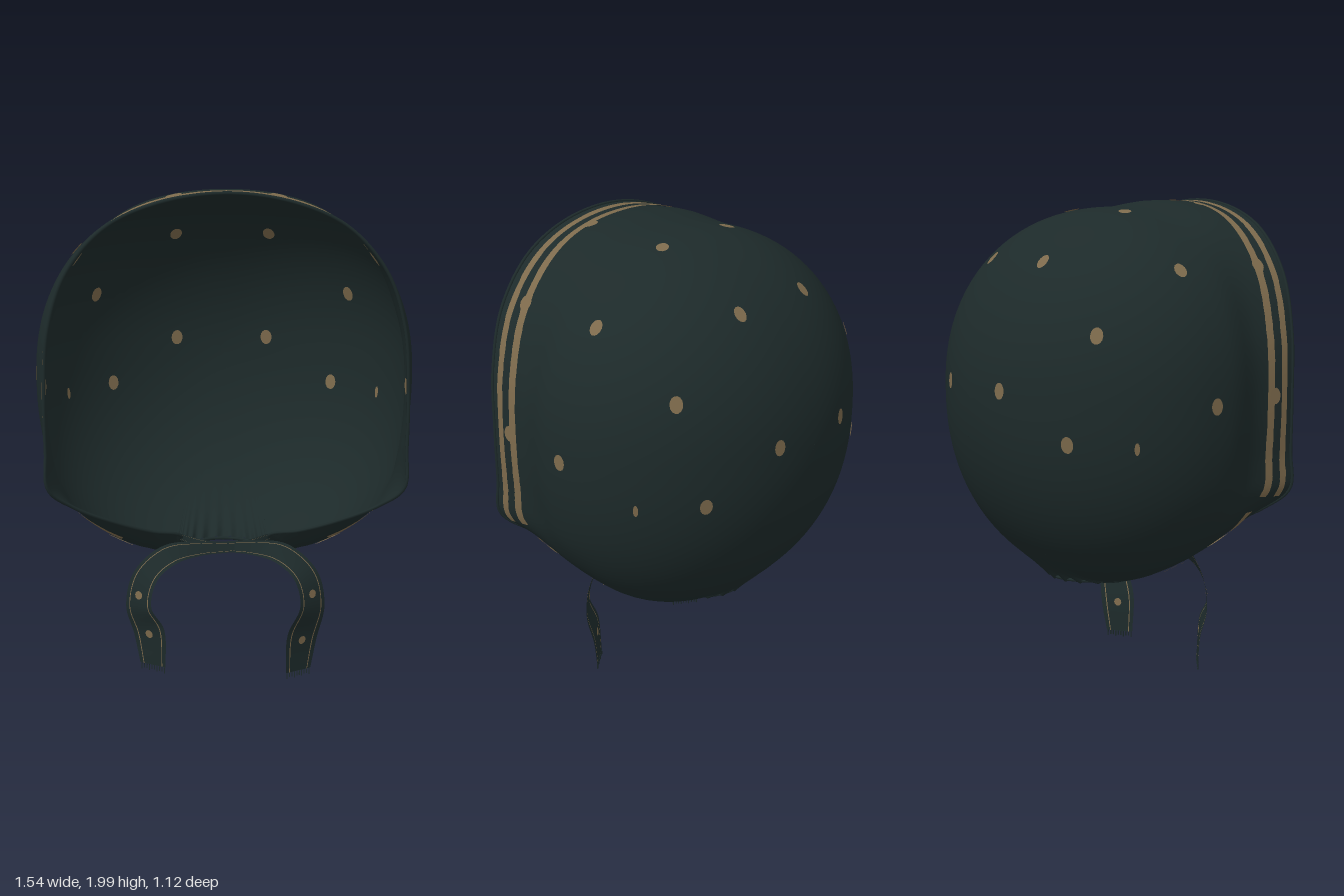
import * as THREE from 'three';

const fabric = new THREE.MeshStandardMaterial({ color: 0x1d2a2a, side: THREE.DoubleSide });
fabric.name = 'dark green fabric';
const trim = new THREE.MeshStandardMaterial({ color: 0x7d6a4c, side: THREE.DoubleSide });
trim.name = 'tan trim';

// Half of the shell's edge: face opening from crown to chin, then neck opening to the nape
const halfEdge = [
  [0, 1.985, 0.55], [0.25, 1.95, 0.55], [0.45, 1.86, 0.54], [0.6, 1.69, 0.53], [0.675, 1.47, 0.515],
  [0.695, 1.22, 0.505], [0.695, 1.0, 0.505], [0.69, 0.85, 0.51], [0.6, 0.76, 0.45], [0.45, 0.68, 0.39],
  [0.3, 0.61, 0.3], [0.18, 0.57, 0.23], [0.19, 0.46, 0.14], [0.18, 0.43, 0.02], [0.12, 0.43, -0.12],
  [0, 0.43, -0.17],
];
const CHIN = 11;
const mirrored = halfEdge.slice(1, -1).reverse().map(([x, y, z]) => [-x, y, z]);
const edgePoints = [...halfEdge, ...mirrored].map((p) => new THREE.Vector3(...p));
const edge = new THREE.CatmullRomCurve3(edgePoints, true, 'centripetal');
const { smoothstep, lerp, clamp } = THREE.MathUtils;

// Rounded head form: flatter towards the face, fuller at the lower cheeks
const C = new THREE.Vector3(0, 1.21, 0.08);
const axes = (y, z) => [0.762, y > 0 ? 0.74 : 0.82, z > 0 ? 1.0 : 0.64];
function fullness(x, y) {
  const a = Math.atan2(y, x), q = 2.25;
  return (Math.abs(Math.cos(a)) ** q + Math.abs(Math.sin(a)) ** q) ** (-1 / q);
}

// Returns a function of s: from the back of the head (0) to the edge (1)
function meridian(u) {
  const B = edge.getPoint(u).sub(C);
  const A = axes(B.y, B.z);
  let bx = B.x / A[0], by = B.y / A[1];
  const bz = B.z / A[2], f = fullness(bx, by);
  bx /= f;
  by /= f;
  const flat = Math.hypot(bx, by), R = Math.hypot(flat, bz);
  const sweep = Math.PI / 2 + Math.atan2(bz, flat);
  // gathers along the neck, a raised brim at the crown and a pinch at the sides
  const k = Math.min(u, 1 - u) * edgePoints.length;
  const wave = 0.016 * smoothstep(k, CHIN - 1.5, CHIN + 1) * Math.cos(k * Math.PI * 4);
  const brim = lerp(0.03, -0.045, smoothstep(k, 1, 4)) * (1 - smoothstep(k, 6.5, 8.5));
  return (s) => {
    const bump = Math.sin(Math.PI * clamp((s - 0.82) / 0.18, 0, 1)) ** 2;
    const r = 1 + (R - 1) * s ** 12 + wave * s ** 10 + brim * bump;
    const w = Math.sin(sweep * s) * r, dz = -Math.cos(sweep * s) * r;
    const X = axes(by, dz);
    return new THREE.Vector3((bx / flat) * w * f * X[0], (by / flat) * w * f * X[1], dz * X[2]).add(C);
  };
}

// The s that lies a given distance back from the edge
function backFromEdge(m, distance) {
  let s = 1, length = 0, last = m(1);
  while (length < distance) {
    s -= 0.001;
    const next = m(s);
    length += next.distanceTo(last);
    last = next;
  }
  return s;
}

function indexedGeometry(positions, dark, light) {
  const g = new THREE.BufferGeometry();
  g.setAttribute('position', new THREE.Float32BufferAttribute(positions, 3));
  g.setIndex([...dark, ...light]);
  g.addGroup(0, dark.length, 0);
  g.addGroup(dark.length, light.length, 1);
  g.computeVertexNormals();
  return g;
}

// Hood shell, and the stripes sewn on its outside round the face opening
function buildShell() {
  const cols = edgePoints.length * 12, backRows = 40;
  const bands = [0.13, 0.097, 0.063, 0.035, 0];
  const rows = backRows + bands.length;
  const pos = [], cells = [], stripeCells = [];
  for (let i = 0; i < cols; i++) {
    const m = meridian(i / cols);
    const bandS = bands.map((d) => backFromEdge(m, d));
    for (let j = 0; j < rows; j++) {
      const s = j < backRows ? bandS[0] * (j / backRows) : bandS[j - backRows];
      pos.push(...m(Math.max(s, 0.0005)).toArray());
    }
  }
  for (let i = 0; i < cols; i++) {
    const k = Math.min(i, cols - 1 - i) / 12, n = (i + 1) % cols;
    for (let j = 0; j < rows - 1; j++) {
      const a = i * rows + j, d = n * rows + j;
      const cell = [a, a + 1, d + 1, a, d + 1, d];
      cells.push(...cell);
      const rear = j === backRows && (k < 7.2 || (k > 7.8 && k < 9.5));
      const front = j === backRows + 2 && k < 7.2;
      if (rear || front) stripeCells.push(...cell);
    }
  }
  const shell = new THREE.Mesh(indexedGeometry(pos, cells, []), fabric);
  shell.name = 'hoodShell';

  const N = shell.geometry.attributes.normal.array;
  const raised = pos.map((value, i) => value + N[i] * 0.004);
  const stripes = new THREE.Mesh(indexedGeometry(raised, stripeCells, []), trim);
  stripes.name = 'brimStripes';
  return { shell, stripes };
}

// Spots laid on the outside and the lining: x, y, z, width, height
function buildSpots(shell) {
  const spots = new THREE.Group();
  spots.name = 'spots';
  const places = [
    [0.2, 1.26, -0.53], [0.2, 1.75, -0.34], [0.55, 1.49, -0.32], [0.48, 1.08, -0.4],
    [0.2, 1.94, 0.04], [0.58, 1.71, 0.03], [0.76, 1.22, 0.08], [0.69, 1.07, -0.23, 0.4, 0.75],
    [0.2, 1.98, 0.42], [0.58, 1.74, 0.42], [0.69, 1.23, 0.41], [0.42, 0.54, 0.12, 0.4, 1.9],
  ];
  const disc = new THREE.CircleGeometry(0.03, 14).scale(0.85, 1.1, 1);
  const P = shell.geometry.attributes.position, N = shell.geometry.attributes.normal;
  const v = new THREE.Vector3();
  for (const [x, y, z, width = 1, height = 1] of places) for (const side of [1, -1]) {
    const target = new THREE.Vector3(x * side, y, z);
    let best = 0, bestD = Infinity;
    for (let i = 0; i < P.count; i++) {
      const d = v.fromBufferAttribute(P, i).distanceToSquared(target);
      if (d < bestD) { bestD = d; best = i; }
    }
    const n = new THREE.Vector3().fromBufferAttribute(N, best);
    v.fromBufferAttribute(P, best);
    target.addScaledVector(n, -n.dot(target.clone().sub(v)));
    for (const face of [1, -1]) {
      const spot = new THREE.Mesh(disc, trim);
      spot.name = face > 0 ? 'spot' : 'liningSpot';
      spot.position.copy(target).addScaledVector(n, 0.005 * face);
      spot.lookAt(spot.position.clone().addScaledVector(n, face));
      spot.scale.set(width, height, 1);
      spots.add(spot);
    }
  }
  return spots;
}

// Chin tie: a ribbon lofted between two edges, with border lines, spots and a fringe
function buildTie(side, lift, forward) {
  const tie = new THREE.Group();
  tie.name = side > 0 ? 'leftTie' : 'rightTie';
  const curve = (pts) => new THREE.CatmullRomCurve3(pts.map(([x, y, z], i) =>
    new THREE.Vector3(x * side, y + (i > 5 ? lift : 0), z + (i > 0 && i < 4 ? forward : 0))));
  const outer = curve([[-0.2, 0.58, 0.22], [-0.05, 0.555, 0.26], [0.1, 0.565, 0.28], [0.25, 0.555, 0.3],
    [0.37, 0.45, 0.32], [0.405, 0.3, 0.32], [0.375, 0.15, 0.31], [0.35, 0.025, 0.32]]);
  const inner = curve([[-0.19, 0.55, 0.22], [-0.05, 0.52, 0.27], [0.1, 0.51, 0.3], [0.2, 0.49, 0.34],
    [0.275, 0.43, 0.38], [0.3, 0.32, 0.4], [0.25, 0.2, 0.4], [0.245, 0.03, 0.39]]);
  const at = (u, w) => outer.getPoint(u).lerp(inner.getPoint(u), w);
  const across = [0, 0.13, 0.16, 0.5, 0.84, 0.87, 1], steps = 56, n = across.length;
  const pos = [], dark = [], light = [];
  for (let i = 0; i <= steps; i++) for (const w of across) pos.push(...at(i / steps, w).toArray());
  for (let i = 0; i < steps; i++) for (let j = 0; j < n - 1; j++) {
    const a = i * n + j;
    (j === 1 || j === 4 ? light : dark).push(a, a + n, a + n + 1, a, a + n + 1, a + 1);
  }
  const ribbon = new THREE.Mesh(indexedGeometry(pos, dark, light), [fabric, trim]);
  ribbon.name = 'ribbon';
  tie.add(ribbon);

  for (const u of [0.66, 0.87]) {
    const p = at(u, 0.5);
    const along = at(u + 0.01, 0.5).sub(p), wide = at(u, 0.6).sub(p);
    const normal = along.cross(wide).normalize();
    for (const face of [1, -1]) {
      const spot = new THREE.Mesh(new THREE.CircleGeometry(0.018, 10), trim);
      spot.name = 'tieSpot';
      spot.position.copy(p).addScaledVector(normal, face * 0.004);
      spot.lookAt(spot.position.clone().addScaledVector(normal, face));
      tie.add(spot);
    }
  }
  for (let i = 0; i < 10; i++) {
    const length = 0.02 + 0.006 * (i % 3 === 0);
    const thread = new THREE.Mesh(new THREE.BoxGeometry(0.004, length, 0.004), fabric);
    thread.name = 'fringeThread';
    thread.position.copy(at(1, (i + 0.5) / 10));
    thread.position.y -= length / 2;
    tie.add(thread);
  }
  return tie;
}

export function createModel() {
  const model = new THREE.Group();
  model.name = 'bonnet';
  const { shell, stripes } = buildShell();
  model.add(shell, stripes, buildSpots(shell));

  // Rolled hem round both openings
  const hem = new THREE.Mesh(new THREE.TubeGeometry(edge, 240, 0.007, 6, true), fabric);
  hem.name = 'hem';
  model.add(hem, buildTie(1, 0, 0), buildTie(-1, 0.03, 0.012));
  return model;
}
